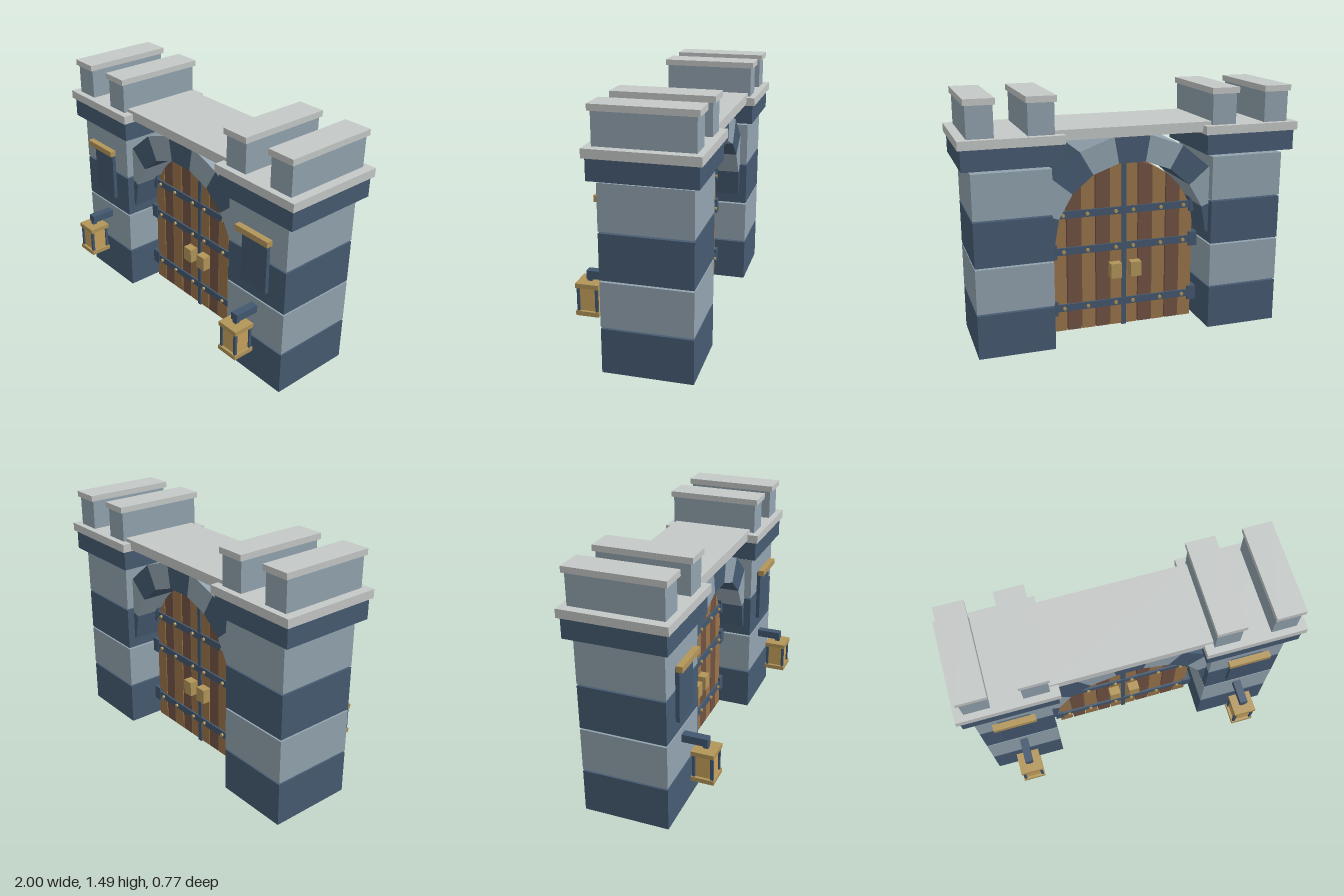
import * as THREE from 'three';

const mat = (name, color) => {
  const m = new THREE.MeshStandardMaterial({ color });
  m.name = name;
  return m;
};

export function createModel() {
  const paleStone = mat('pale stone', 0x92a3af);
  const darkStone = mat('dark stone', 0x465b72);
  const capStone = mat('cap stone', 0xc4c8c6);
  const iron = mat('iron', 0x43586f);
  const lightWood = mat('light wood', 0x9a744a);
  const darkWood = mat('dark wood', 0x715243);
  const brass = mat('brass', 0xb29559);
  const glass = mat('lantern glass', 0xc8a25d);

  const model = new THREE.Group();
  model.name = 'gatehouse';
  const ZC = -0.075; // middle plane of the wall

  const group = (name, parent = model) => {
    const g = new THREE.Group();
    g.name = name;
    parent.add(g);
    return g;
  };
  // Box given by its extents on each axis
  const box = (parent, name, m, [x0, x1], [y0, y1], [z0, z1]) => {
    const mesh = new THREE.Mesh(new THREE.BoxGeometry(x1 - x0, y1 - y0, z1 - z0), m);
    mesh.position.set((x0 + x1) / 2, (y0 + y1) / 2, (z0 + z1) / 2);
    mesh.name = name;
    parent.add(mesh);
    return mesh;
  };
  const around = (c, half) => [c - half, c + half];
  // Flat outline extruded symmetrically about the wall's middle plane
  const slab = (parent, name, m, points, depth) => {
    const shape = new THREE.Shape(points.map(([x, y]) => new THREE.Vector2(x, y)));
    const geo = new THREE.ExtrudeGeometry(shape, { depth, bevelEnabled: false });
    geo.translate(0, 0, ZC - depth / 2);
    const mesh = new THREE.Mesh(geo, m);
    mesh.name = name;
    parent.add(mesh);
  };

  for (const side of [-1, 1]) {
    const label = side > 0 ? 'left' : 'right';
    const cx = side * 0.7075;

    // Pillar: four stone courses with open joints, cornice and cap
    const pillar = group(label + 'Pillar');
    for (let i = 0; i < 4; i++) {
      const y = i * 0.272;
      box(pillar, 'course', i % 2 ? paleStone : darkStone,
        around(cx, 0.224), [y, y + 0.262], around(ZC, 0.256));
    }
    box(pillar, 'cornice', darkStone, around(cx, 0.277), [1.1, 1.22], around(ZC, 0.292));
    box(pillar, 'cap', capStone, around(cx, 0.2925), [1.22, 1.27], around(ZC, 0.308));

    // Merlons
    for (const mx of [0.541, 0.872]) {
      box(pillar, 'merlon', paleStone, around(side * mx, 0.074), [1.27, 1.45], around(ZC, 0.27));
      box(pillar, 'merlonCap', capStone, around(side * mx, 0.085), [1.45, 1.485], around(ZC, 0.285));
    }

    // Hanging plaque with its brass rail
    const bx = side * 0.71;
    box(pillar, 'plaque', iron, around(bx, 0.097), [0.622, 0.948], [0.178, 0.204]);
    box(pillar, 'plaqueRail', brass, around(bx, 0.126), [0.94, 0.975], [0.197, 0.235]);

    // Lantern on a bracket
    const lantern = group(label + 'Lantern');
    const lx = side * 0.706, lz = 0.318;
    box(lantern, 'bracket', iron, around(lx, 0.024), [0.449, 0.496], [0.178, 0.333]);
    box(lantern, 'link', iron, around(lx, 0.014), [0.43, 0.452], around(lz, 0.014));
    box(lantern, 'roof', brass, around(lx, 0.069), [0.405, 0.432], around(lz, 0.067));
    box(lantern, 'base', brass, around(lx, 0.069), [0.24, 0.267], around(lz, 0.067));
    box(lantern, 'pane', glass, around(lx, 0.053), [0.265, 0.407], around(lz, 0.051));
    for (const sx of [-1, 1]) for (const sz of [-1, 1]) {
      box(lantern, 'post', iron, around(lx + sx * 0.055, 0.008), [0.265, 0.407],
        around(lz + sz * 0.053, 0.008));
    }
  }

  // Walkway slab between the pillars
  box(model, 'walkway', capStone, [-0.48, 0.48], [1.23, 1.29], [-0.33, 0.168]);

  // Arch of nine straight-sided wedge stones
  const arch = group('arch');
  for (let i = 0; i < 9; i++) {
    const a = (i * Math.PI) / 9, b = ((i + 1) * Math.PI) / 9;
    const p = (r, t) => [r * Math.cos(t), 0.61 + r * Math.sin(t)];
    slab(arch, 'wedgeStone', i % 2 ? paleStone : darkStone,
      [p(0.467, a), p(0.625, a), p(0.625, b), p(0.467, b)], 0.421);
  }

  // Door planks cut to a round top
  const door = group('door');
  const topY = (x) => 0.6 + Math.sqrt(Math.max(0, 0.446 ** 2 - x * x));
  for (const side of [-1, 1]) {
    for (let i = 0; i < 5; i++) {
      const x0 = side * (0.0448 + i * 0.0893) - 0.0415;
      const pts = [[x0, 0.015], [x0 + 0.083, 0.015]];
      for (let k = 6; k >= 0; k--) {
        const x = x0 + (0.083 * k) / 6;
        pts.push([x, topY(x)]);
      }
      slab(door, 'plank', i % 2 ? darkWood : lightWood, pts, 0.116);
    }
  }
  box(door, 'centreBar', iron, around(0, 0.014), [0.01, 1.042], around(ZC, 0.066));

  // Straps, hinges and studs
  for (const y of [0.166, 0.525, 0.75]) {
    box(door, 'strap', iron, [-0.445, 0.445], around(y, 0.022), around(ZC, 0.07));
    for (const side of [-1, 1]) {
      box(door, 'hinge', iron, around(side * 0.447, 0.027), around(y, 0.045), around(ZC, 0.074));
      for (const sx of [0.055, 0.232, 0.38]) {
        const stud = new THREE.Mesh(new THREE.CylinderGeometry(0.011, 0.011, 0.164, 8), brass);
        stud.rotation.x = Math.PI / 2;
        stud.position.set(side * sx, y, ZC);
        stud.name = 'stud';
        door.add(stud);
      }
    }
  }

  // Handles on both faces of the door
  for (const sx of [-1, 1]) for (const sz of [-1, 1]) {
    box(door, 'handle', brass, around(sx * 0.063, 0.034), around(0.382, 0.046),
      around(ZC + sz * 0.083, 0.029));
  }

  return model;
}
